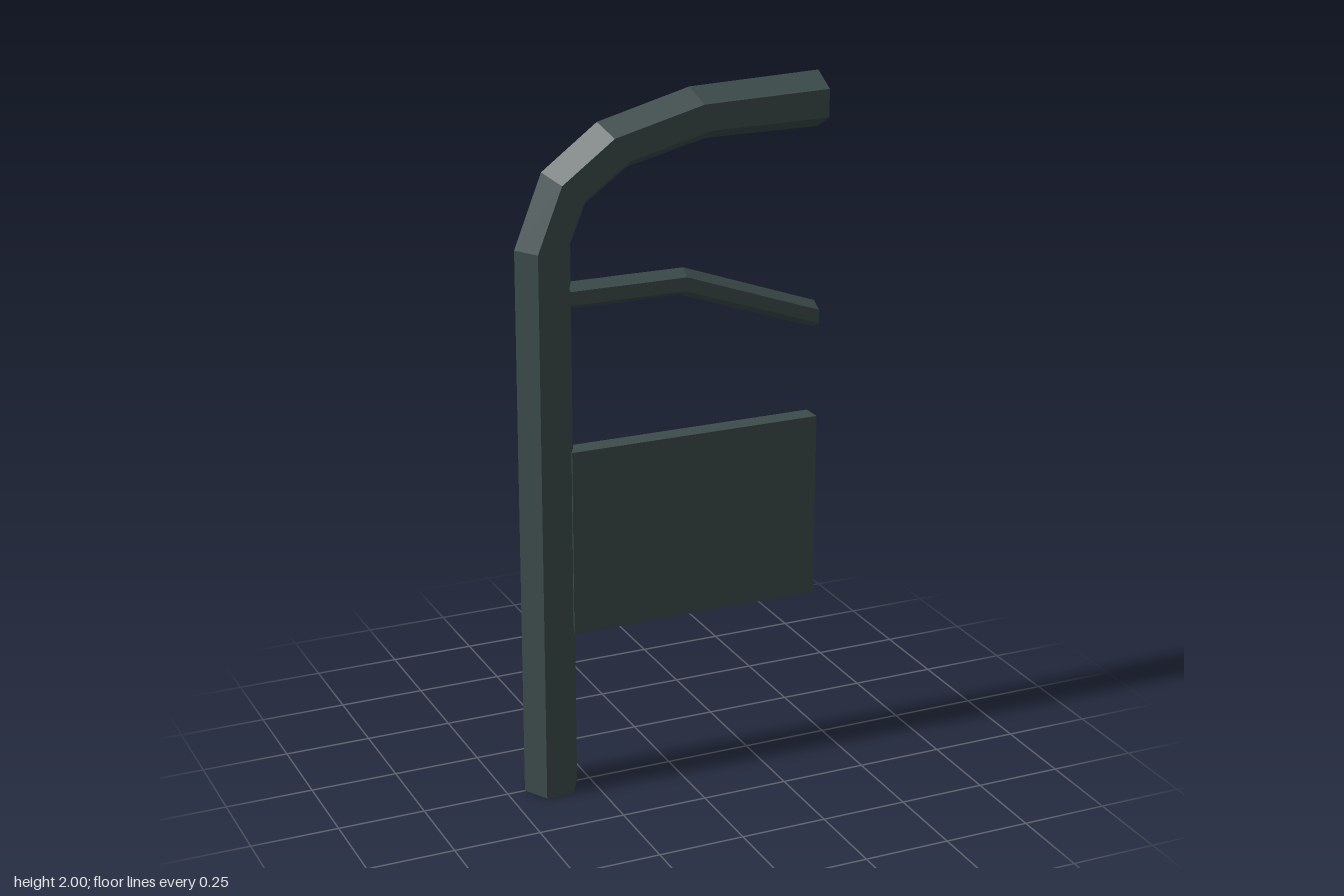
import * as THREE from 'three';

// Open hexagonal tube; each section is [outerX, outerY, innerX, innerY]
function hexTube(sections, halfDepth) {
  const sides = 6;
  const positions = [];
  const index = [];
  sections.forEach(([ox, oy, ix, iy], i) => {
    for (let k = 0; k < sides; k++) {
      const a = (k / sides) * Math.PI * 2;
      const t = (1 + Math.cos(a)) / 2;
      const z = (Math.sin(a) / Math.sin(Math.PI / 3)) * halfDepth;
      positions.push(ix + (ox - ix) * t, iy + (oy - iy) * t, z);
      if (i === 0) continue;
      const n = (k + 1) % sides;
      const p = (i - 1) * sides;
      const q = i * sides;
      index.push(p + k, p + n, q + n, p + k, q + n, q + k);
    }
  });
  const indexed = new THREE.BufferGeometry();
  indexed.setAttribute('position', new THREE.Float32BufferAttribute(positions, 3));
  indexed.setIndex(index);
  const geometry = indexed.toNonIndexed();
  geometry.computeVertexNormals();
  return geometry;
}

export function createModel() {
  const model = new THREE.Group();
  model.name = 'curvedPostWithPanel';

  const slate = new THREE.MeshStandardMaterial({
    color: 0x3d4c4c, flatShading: true, side: THREE.DoubleSide,
  });
  slate.name = 'darkSlate';

  const add = (name, geometry) => {
    const mesh = new THREE.Mesh(geometry, slate);
    mesh.name = name;
    model.add(mesh);
    return mesh;
  };

  // Upright that bends over into the top arm
  add('curvedPost', hexTube([
    [-0.448, 0, -0.288, 0],
    [-0.448, 1.593, -0.288, 1.593],
    [-0.368, 1.797, -0.244, 1.7],
    [-0.208, 1.917, -0.122, 1.787],
    [0.06, 1.988, 0.11, 1.843],
    [0.445, 2, 0.445, 1.843],
  ], 0.071));

  // Thin arm that slopes down at its free end
  add('slopingArm', hexTube([
    [-0.302, 1.489, -0.302, 1.412],
    [0.042, 1.489, 0.032, 1.412],
    [0.445, 1.346, 0.445, 1.268],
  ], 0.034));

  // Flat panel fixed to the post
  add('panel', new THREE.BoxGeometry(0.747, 0.54, 0.06)).position.set(0.0715, 0.741, 0);

  return model;
}
